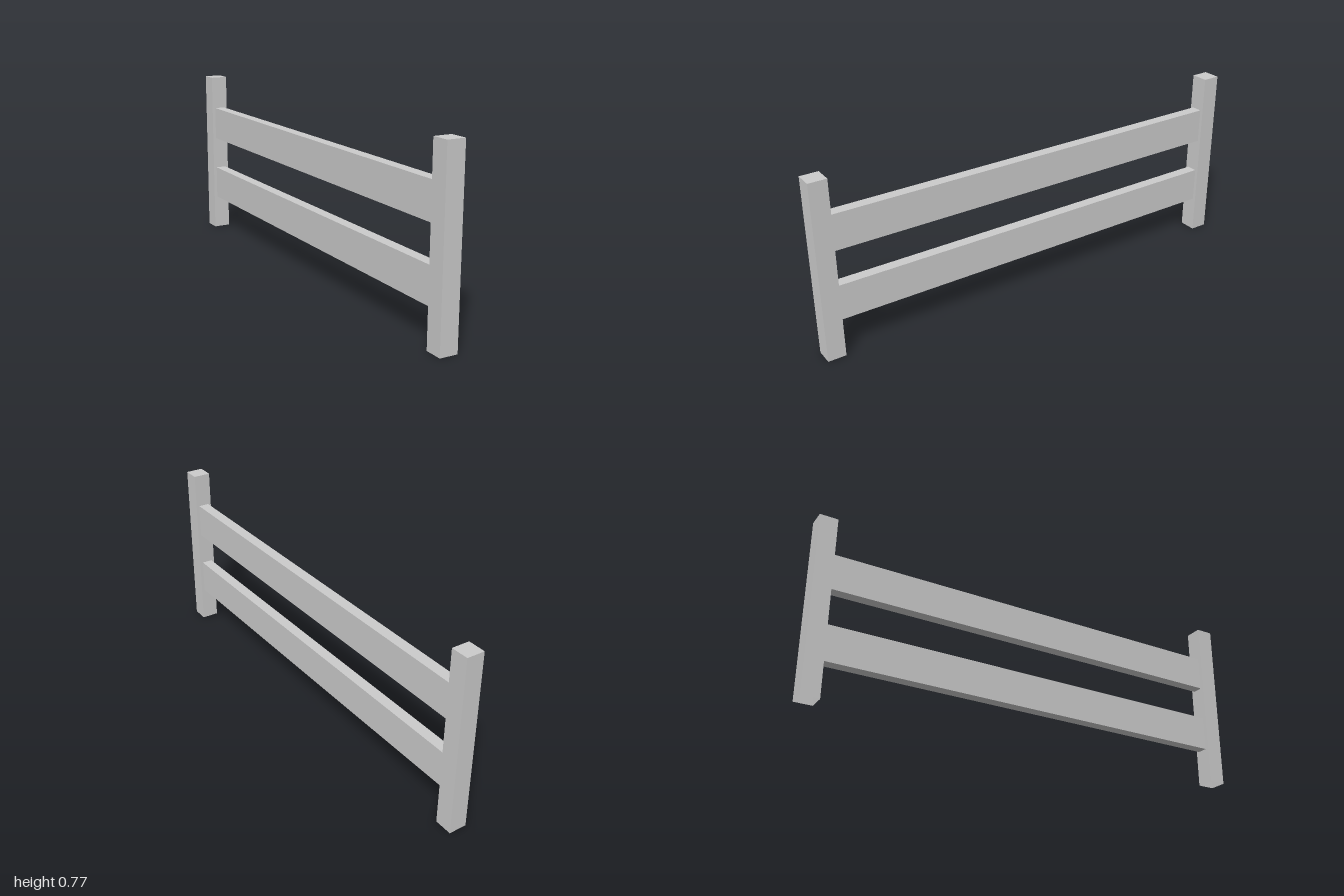
import * as THREE from 'three';

const POST = 0.077, POST_HEIGHT = 0.77;
const RAIL_THICKNESS = 0.048, RAIL_HEIGHT = 0.153;

// Box with some of its sides left out (0..5 = +x, -x, +y, -y, +z, -z)
function openBox(w, h, d, omitted) {
  const geometry = new THREE.BoxGeometry(w, h, d);
  const index = Array.from(geometry.index.array);
  geometry.setIndex(index.filter((_, i) => !omitted.includes(Math.floor(i / 6))));
  geometry.clearGroups();
  return geometry;
}

export function createModel() {
  const fence = new THREE.Group();
  fence.name = 'fence';
  const material = new THREE.MeshStandardMaterial({ color: 0xcccccc, side: THREE.DoubleSide });

  const add = (name, geometry, y, z) => {
    const mesh = new THREE.Mesh(geometry, material);
    mesh.name = name;
    mesh.position.set(0, y, z);
    fence.add(mesh);
  };

  // Square end posts, open underneath
  const post = openBox(POST, POST_HEIGHT, POST, [3]);
  add('frontPost', post, POST_HEIGHT / 2, 1 - POST / 2);
  add('backPost', post, POST_HEIGHT / 2, -1 + POST / 2);

  // Two flat rails butting against the posts, so their ends need no caps
  const rail = openBox(RAIL_THICKNESS, RAIL_HEIGHT, 2 - 2 * POST, [4, 5]);
  add('lowerRail', rail, 0.235, 0);
  add('upperRail', rail, 0.54, 0);

  return fence;
}
